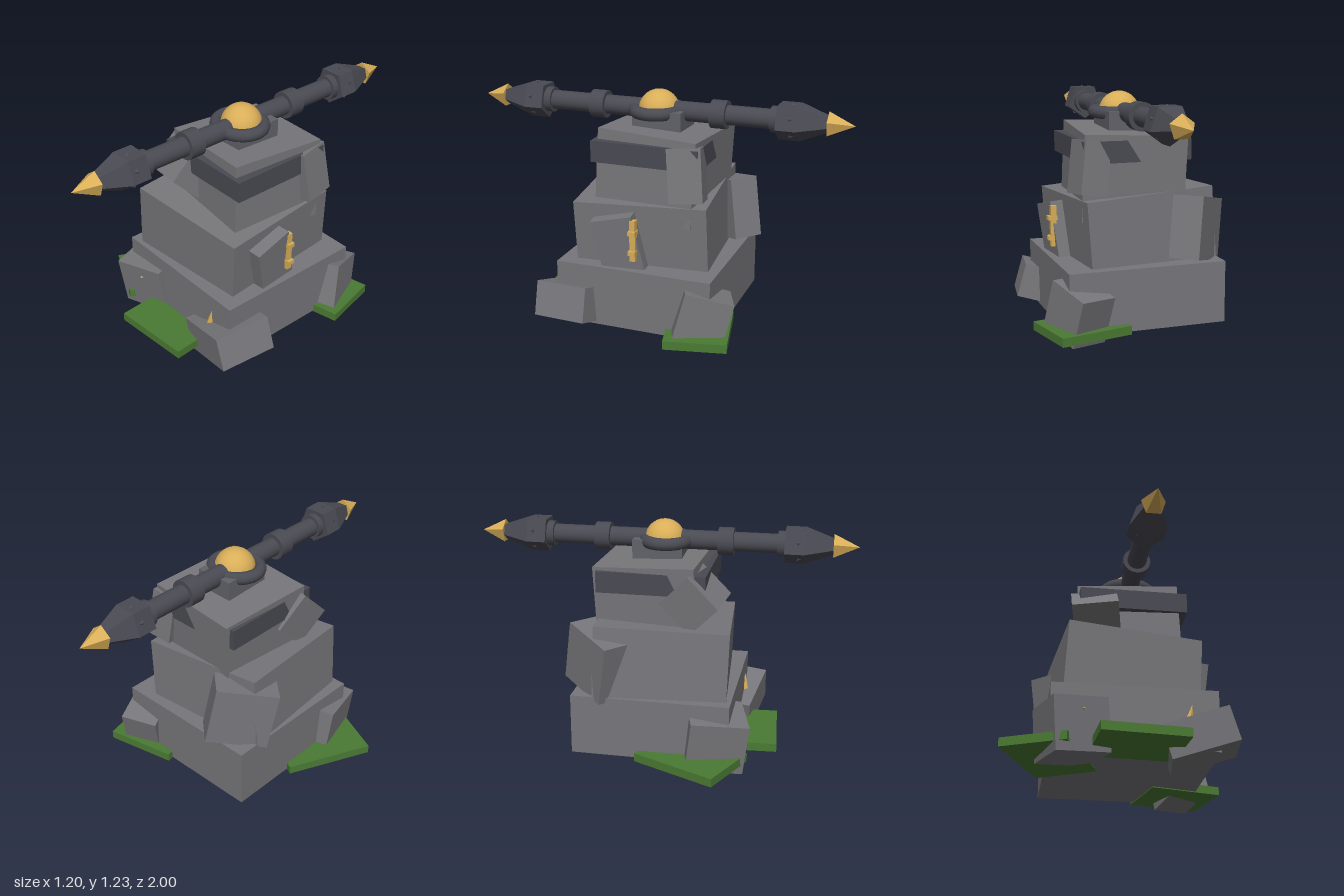
import * as THREE from 'three';

const mat = (name, color) => {
  const m = new THREE.MeshStandardMaterial({ color });
  m.name = name;
  return m;
};

export function createModel() {
  const stone = mat('stone', 0x77767a);
  const darkStone = mat('darkStone', 0x62626a);
  const iron = mat('iron', 0x4a4a53);
  const gold = mat('gold', 0xd9ae58);
  const grass = mat('grass', 0x4a7a34);
  const model = new THREE.Group();
  model.name = 'stoneTurret';

  const add = (parent, name, geometry, material, pos = [0, 0, 0], rot = [0, 0, 0]) => {
    const mesh = new THREE.Mesh(geometry, material);
    mesh.name = name;
    mesh.position.set(...pos);
    mesh.rotation.set(...rot, 'YXZ');
    parent.add(mesh);
    return mesh;
  };
  const box = (name, size, pos, rot, material = stone) =>
    add(model, name, new THREE.BoxGeometry(...size), material, pos, rot);
  const faceted = (geometry) => {
    const g = geometry.toNonIndexed();
    g.computeVertexNormals();
    return g;
  };

  // Stacked stone tiers
  box('baseTier', [0.825, 0.32, 0.825], [0.047, 0.215, 0]);
  box('middleTier', [0.69, 0.42, 0.69], [0.02, 0.508, 0.018], [0.03, 0.085, -0.06]);
  box('upperTier', [0.53, 0.44, 0.53], [0.064, 0.817, -0.035], [-0.045, -0.07, 0.035]);
  box('ironBand', [0.565, 0.11, 0.565], [0.0675, 0.945, -0.0225], undefined, iron);
  box('pedestal', [0.21, 0.12, 0.26], [0.067, 1.07, -0.022], undefined, darkStone);

  // Loose rocks leaning on the tiers: size, position, rotation
  const rocks = [
    ['frontLeftRock', [0.28, 0.27, 0.3], [0.36 - 0.615, 0.163, 0.32], [0.1, 0.28, 0.1]],
    ['frontRightRock', [0.34, 0.18, 0.3], [0.37, 0.135, 0.34], [0.07, -0.16, 0.28]],
    ['backRightRock', [0.2, 0.25, 0.25], [0.395, 0.167, -0.35], [-0.27, 0.38, 0.05]],
    ['middleBackSlab', [0.32, 0.32, 0.16], [-0.25, 0.535, -0.295], [0, -2.29, -0.2]],
    ['middleSideSlab', [0.15, 0.36, 0.22], [0.36, 0.465, 0.085], [0.22, 0.08, -0.08]],
    ['upperFrontRock', [0.24, 0.22, 0.22], [-0.125, 0.86, 0.195], [0.78, -0.05, 0.13]],
    ['upperSideRock', [0.14, 0.27, 0.17], [0.302, 0.865, -0.235], [0.08, 0.15, 0.14]],
  ];
  for (const [name, size, pos, rot] of rocks) box(name, size, pos, rot);

  // Grass patches as thin extruded outlines in x, z
  const patches = [
    ['frontGrass', [[-0.15, 0.64], [0.28, 0.605], [0.255, 0.26], [-0.175, 0.29]]],
    ['leftGrass', [[-0.4, -0.07], [-0.6, 0.36], [-0.29, 0.5], [-0.25, 0.42], [-0.1, 0.08]]],
    ['backGrass', [[0.15, -0.445], [0.525, -0.525], [0.595, -0.215], [0.22, -0.13]]],
  ];
  for (const [name, pts] of patches) {
    const shape = new THREE.Shape(pts.map(([x, z]) => new THREE.Vector2(x, z)));
    const g = new THREE.ExtrudeGeometry(shape, { depth: 0.045, bevelEnabled: false });
    add(model, name, g.rotateX(Math.PI / 2), grass, [0, 0.095, 0]);
  }

  // Gold inlays
  box('goldBar', [0.03, 0.215, 0.03], [0.43, 0.532, 0], undefined, gold);
  for (const y of [0.47, 0.575]) box('goldClasp', [0.05, 0.022, 0.038], [0.435, y, 0], undefined, gold);
  const shard = faceted(new THREE.ConeGeometry(0.02, 0.09, 4));
  add(model, 'goldShard', shard, gold, [0.315, 0.25, 0.415], [0, 0, -0.2]);
  add(model, 'goldChip', faceted(new THREE.OctahedronGeometry(0.012)), gold, [-0.21, 0.22, 0.467]);

  // Pivot: gold dome within an iron ring
  add(model, 'dome', new THREE.SphereGeometry(0.106, 32, 20), gold, [0.067, 1.117, 0]);
  const ring = new THREE.TorusGeometry(0.128, 0.033, 12, 40).rotateX(Math.PI / 2);
  add(model, 'pivotRing', ring, iron, [0.067, 1.117, 0.01]).scale.z = 0.9;

  // Double-ended bolt along z
  const bolt = new THREE.Group();
  bolt.name = 'bolt';
  bolt.position.set(0.067, 1.12, 0);
  model.add(bolt);
  const rod = (parent, name, rFront, rBack, z0, z1, sides, material, spin = 0) => {
    let g = new THREE.CylinderGeometry(rFront, rBack, z1 - z0, sides);
    g.rotateX(Math.PI / 2).rotateZ(spin);
    if (sides < 10) g = faceted(g);
    add(parent, name, g, material, [0, 0, (z0 + z1) / 2]);
  };
  rod(bolt, 'shaft', 0.05, 0.05, -0.66, 0.66, 20, iron);
  for (const turn of [0, Math.PI]) {
    const head = new THREE.Group();
    head.name = turn ? 'rearHead' : 'frontHead';
    head.rotation.y = turn;
    bolt.add(head);
    rod(head, 'shaftCollar', 0.072, 0.072, 0.285, 0.365, 20, iron);
    rod(head, 'headSleeve', 0.066, 0.066, 0.59, 0.64, 20, iron);
    rod(head, 'headCollar', 0.1, 0.1, 0.627, 0.727, 5, iron);
    rod(head, 'headSpikes', 0.05, 0.09, 0.69, 0.79, 5, iron, Math.PI);
    rod(head, 'headTaper', 0.04, 0.1, 0.727, 0.88, 5, iron);
    rod(head, 'goldTip', 0, 0.063, 0.87, 1, 5, gold, Math.PI);
  }
  return model;
}
